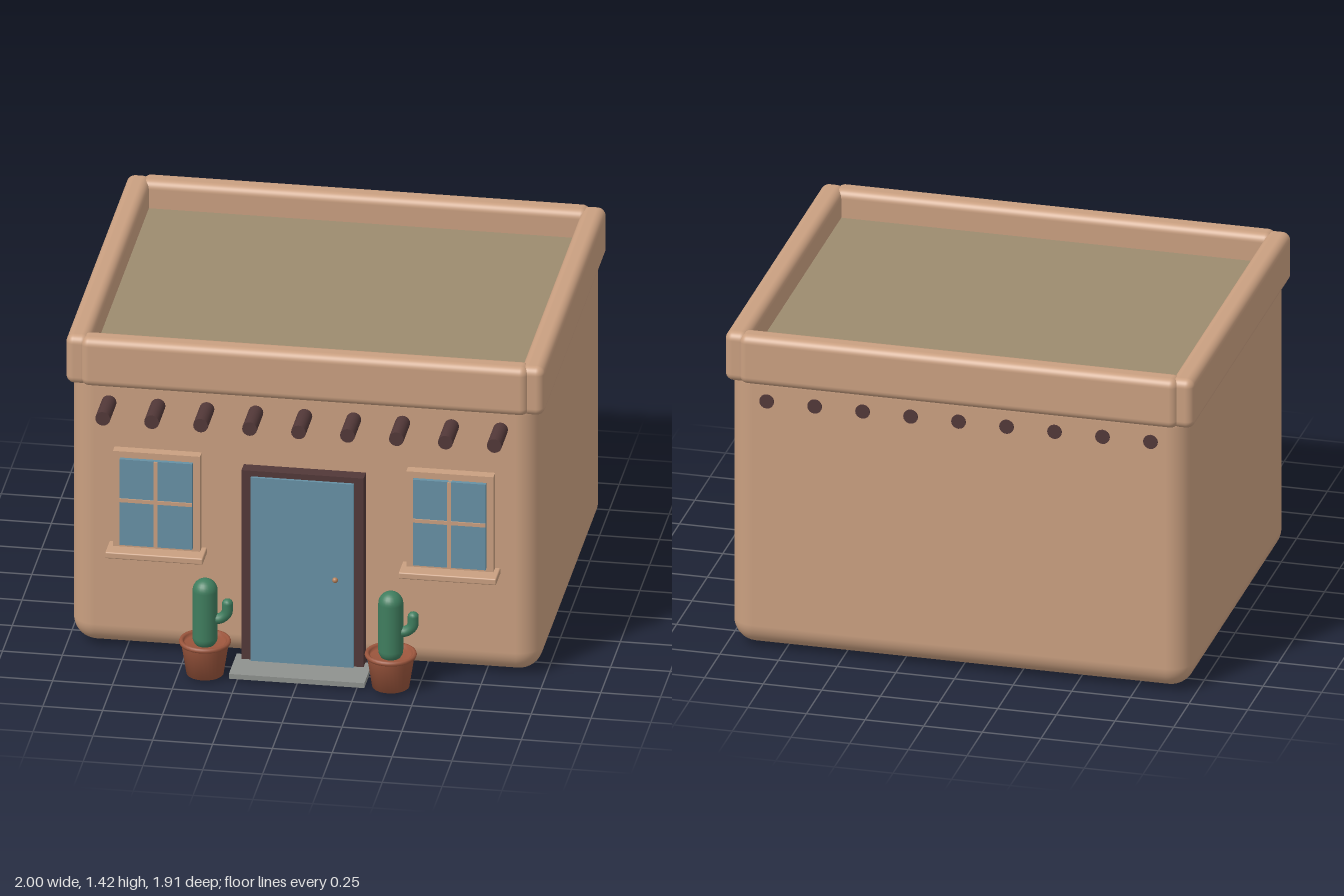
import * as THREE from 'three';
import { RoundedBoxGeometry } from 'three/addons/geometries/RoundedBoxGeometry.js';

const mat = (name, color, side = THREE.FrontSide) => {
  const m = new THREE.MeshStandardMaterial({ color, side });
  m.name = name;
  return m;
};

export function createModel() {
  const adobe = mat('adobe', 0xc99f80);
  const roofing = mat('roofing', 0x9c8b6e);
  const darkWood = mat('dark wood', 0x523838);
  const blue = mat('blue', 0x6690a4);
  const terracotta = mat('terracotta', 0x9c563d, THREE.DoubleSide);
  const green = mat('cactus green', 0x3f7d5e);
  const stone = mat('stone', 0x8e918e);
  const copper = mat('copper', 0xb57f58);

  const model = new THREE.Group();
  model.name = 'adobeHouse';

  const add = (parent, name, geometry, material, x = 0, y = 0, z = 0) => {
    const mesh = new THREE.Mesh(geometry, material);
    mesh.name = name;
    mesh.position.set(x, y, z);
    parent.add(mesh);
    return mesh;
  };
  // Box given by its limits, with rounded edges when r > 0
  const box = (parent, name, material, [x0, x1], [y0, y1], [z0, z1], r = 0) => {
    const s = [x1 - x0, y1 - y0, z1 - z0];
    const g = r ? new RoundedBoxGeometry(...s, 5, r) : new THREE.BoxGeometry(...s);
    return add(parent, name, g, material, (x0 + x1) / 2, (y0 + y1) / 2, (z0 + z1) / 2);
  };

  // Walls, roof and parapet
  box(model, 'walls', adobe, [-0.98, 0.98], [0.012, 1.295], [-0.93, 0.668], 0.1);
  box(model, 'roof', roofing, [-0.92, 0.92], [1.22, 1.3], [-0.87, 0.61]);
  for (const [name, z0, z1] of [['frontParapet', 0.593, 0.693], ['backParapet', -0.952, -0.852]]) {
    box(model, name, adobe, [-0.935, 0.935], [1.2, 1.42], [z0, z1], 0.035);
  }
  for (const [name, s] of [['leftParapet', 1], ['rightParapet', -1]]) {
    box(model, name, adobe, [s * 0.95 - 0.05, s * 0.95 + 0.05], [1.2, 1.42], [-0.935, 0.677], 0.035);
  }

  // Roof beams running through the house
  for (let i = -4; i <= 4; i++) {
    const beam = add(model, 'roofBeam', new THREE.CylinderGeometry(0.031, 0.031, 1.768, 16),
      darkWood, i * 0.2045, 1.13, -0.052);
    beam.rotation.x = Math.PI / 2;
  }

  // Door
  const door = new THREE.Group();
  door.name = 'door';
  model.add(door);
  for (const s of [-1, 1]) {
    box(door, 'doorJamb', darkWood, [s * 0.235 - 0.02, s * 0.235 + 0.02], [0, 0.89], [0.65, 0.727]);
  }
  box(door, 'doorLintel', darkWood, [-0.215, 0.215], [0.865, 0.89], [0.65, 0.727]);
  box(door, 'doorBacking', darkWood, [-0.215, 0.215], [0, 0.865], [0.65, 0.715]);
  box(door, 'doorPanel', blue, [-0.215, 0.215], [0.03, 0.865], [0.7, 0.74]);
  add(door, 'doorKnob', new THREE.SphereGeometry(0.012, 16, 12), copper, 0.14, 0.43, 0.752);
  box(door, 'doorstep', stone, [-0.283, 0.283], [0.008, 0.03], [0.68, 0.88]);

  // Windows
  const frameShape = new THREE.Shape();
  frameShape.moveTo(-0.182, 0.475).lineTo(0.182, 0.475).lineTo(0.182, 0.93).lineTo(-0.182, 0.93).closePath();
  const hole = new THREE.Path();
  hole.moveTo(-0.153, 0.51).lineTo(-0.153, 0.902).lineTo(0.153, 0.902).lineTo(0.153, 0.51).closePath();
  frameShape.holes.push(hole);
  for (const s of [-1, 1]) {
    const win = new THREE.Group();
    win.name = s > 0 ? 'leftWindow' : 'rightWindow';
    win.position.x = s * 0.613;
    model.add(win);
    add(win, 'windowFrame', new THREE.ExtrudeGeometry(frameShape, { depth: 0.062, bevelEnabled: false }),
      adobe, 0, 0, 0.65);
    box(win, 'windowGlass', blue, [-0.152, 0.152], [0.511, 0.901], [0.66, 0.728]);
    box(win, 'verticalBar', adobe, [-0.008, 0.008], [0.511, 0.901], [0.7, 0.733]);
    box(win, 'horizontalBar', adobe, [-0.152, 0.152], [0.708, 0.724], [0.7, 0.733]);
    box(win, 'windowSill', adobe, [-0.204, 0.204], [0.468, 0.497], [0.66, 0.778], 0.006);
  }

  // Potted cacti
  const potProfile = [[0, 0.012], [0.077, 0.012], [0.098, 0.145], [0.105, 0.148], [0.108, 0.156],
    [0.105, 0.164], [0.096, 0.166], [0.088, 0.16], [0.086, 0.145], [0, 0.145]]
    .map(([x, y]) => new THREE.Vector2(x, y));
  const armPath = new THREE.CatmullRomCurve3([[0.03, 0.262], [0.065, 0.266], [0.09, 0.29], [0.094, 0.335]]
    .map(([x, y]) => new THREE.Vector3(x, y, 0)));
  for (const s of [-1, 1]) {
    const plant = new THREE.Group();
    plant.name = s > 0 ? 'leftPlant' : 'rightPlant';
    plant.position.set(s * 0.388, 0, 0.846);
    model.add(plant);
    add(plant, 'pot', new THREE.LatheGeometry(potProfile, 32), terracotta);
    add(plant, 'cactusTrunk', new THREE.CapsuleGeometry(0.052, 0.21, 8, 24), green, 0, 0.283, 0);
    add(plant, 'cactusArm', new THREE.TubeGeometry(armPath, 16, 0.023, 12), green);
    const tip = add(plant, 'cactusArmTip', new THREE.SphereGeometry(0.023, 12, 10), green, 0.094, 0.335, 0);
    tip.scale.y = 0.9;
  }

  return model;
}
